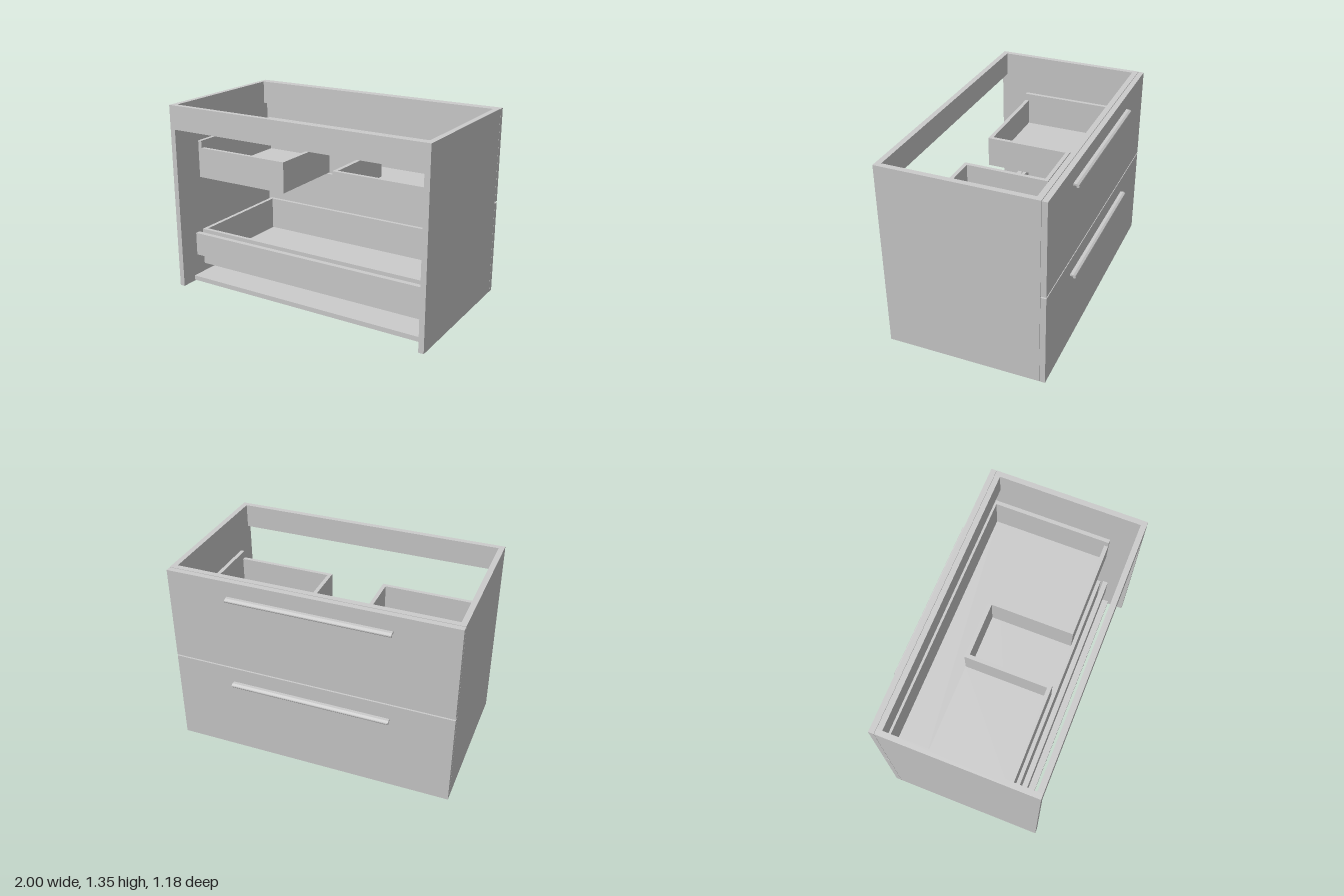
import * as THREE from 'three';

const material = new THREE.MeshStandardMaterial({ color: 0xcccccc, flatShading: true });

// Box given by its limits on each axis
function board(parent, name, [x0, x1], [y0, y1], [z0, z1]) {
  const mesh = new THREE.Mesh(new THREE.BoxGeometry(x1 - x0, y1 - y0, z1 - z0), material);
  mesh.position.set((x0 + x1) / 2, (y0 + y1) / 2, (z0 + z1) / 2);
  mesh.name = name;
  parent.add(mesh);
  return mesh;
}

const W = 0.988;      // half width
const D = 0.558;      // half depth
const H = 1.345;      // height
const T = 0.038;      // board thickness
const IN = W - T;     // inner half width
const BACK = -D + T;  // inner face of the drawer fronts

function createCarcass() {
  const g = new THREE.Group();
  g.name = 'carcass';
  for (const s of [-1, 1]) {
    board(g, 'sidePanel', s < 0 ? [-W, -IN] : [IN, W], [0, H], [BACK + 0.002, D]);
  }
  board(g, 'openSideRail', [-IN, IN], [1.175, H], [D - T, D]);
  board(g, 'drawerSideRail', [-IN, IN], [1.175, H], [BACK + 0.002, BACK + 0.04]);
  board(g, 'lowerCrossRail', [-IN, IN], [0.195, 0.365], [0.364, 0.401]);
  board(g, 'bottomPanel', [-IN, IN], [0.006, 0.04], [BACK + 0.002, 0.441]);
  return g;
}

// Pull: a shallow plate with a rounded lip turned down at its outer edge
function createHandle(y) {
  const s = new THREE.Shape();
  s.moveTo(0, 0.026);
  s.lineTo(0.022, 0.026);
  s.lineTo(0.036, 0.02);
  s.quadraticCurveTo(0.042, 0.012, 0.036, 0.003);
  s.lineTo(0.03, 0);
  s.lineTo(0.021, 0.002);
  s.lineTo(0.02, 0.013);
  s.lineTo(0, 0.013);
  const length = 1.12;
  const geo = new THREE.ExtrudeGeometry(s, { depth: length, bevelEnabled: false, curveSegments: 4 });
  geo.translate(0, 0, -length / 2);
  geo.rotateY(Math.PI / 2); // profile depth now points to -z
  const mesh = new THREE.Mesh(geo, material);
  mesh.name = 'handle';
  mesh.position.set(0, y, -D);
  return mesh;
}

const OUT = 0.93, WALL = 0.028, END = 0.347; // drawer box half width, wall thickness, open end
const BOX_H = 0.272;

// Front board, handle, box sides and back wall shared by both drawers
function createDrawer(name, frontY, boxY, handleY) {
  const g = new THREE.Group();
  g.name = name;
  board(g, 'drawerFront', [-W, W], frontY, [-D, BACK]);
  g.add(createHandle(handleY));
  const y = [boxY, boxY + BOX_H];
  for (const s of [-1, 1]) {
    board(g, 'drawerSide', s < 0 ? [-OUT, -OUT + WALL] : [OUT - WALL, OUT], y, [BACK, END]);
  }
  board(g, 'drawerBackWall', [-OUT + WALL, OUT - WALL], y, [BACK, BACK + WALL]);
  return g;
}

function createUpperDrawer() {
  const g = createDrawer('upperDrawer', [0.68, H - 0.002], 0.784, 1.208);
  const y = [0.784, 1.003];
  const inner = OUT - WALL, cut = 0.222, cutZ = -0.27;
  for (const s of [-1, 1]) {
    const span = (a, b) => (s < 0 ? [-b, -a] : [a, b]);
    board(g, 'splitWall', span(cut, inner), y, [END - WALL, END]);
    board(g, 'recessSide', span(cut - WALL, cut), y, [cutZ, END]);
    board(g, 'drawerFloor', span(cut, inner), [0.784, 0.81], [cutZ, END - WALL]);
  }
  board(g, 'recessBack', [-cut + WALL, cut - WALL], y, [cutZ, cutZ + WALL]);
  board(g, 'drawerFloor', [-inner, inner], [0.784, 0.81], [BACK + WALL, cutZ]);
  return g;
}

function createLowerDrawer() {
  const g = createDrawer('lowerDrawer', [0, 0.67], 0.112, 0.535);
  const inner = OUT - WALL;
  board(g, 'drawerWall', [-inner, inner], [0.112, 0.112 + BOX_H], [END - WALL, END]);
  board(g, 'drawerFloor', [-inner, inner], [0.112, 0.138], [BACK + WALL, END - WALL]);
  return g;
}

export function createModel() {
  const model = new THREE.Group();
  model.name = 'vanityCabinet';
  const cabinet = new THREE.Group();
  cabinet.name = 'cabinet';
  cabinet.add(createCarcass(), createUpperDrawer(), createLowerDrawer());
  // The cabinet stands at a slight turn
  cabinet.rotation.y = 0.019;
  cabinet.position.z = 0.015;
  model.add(cabinet);
  return model;
}
